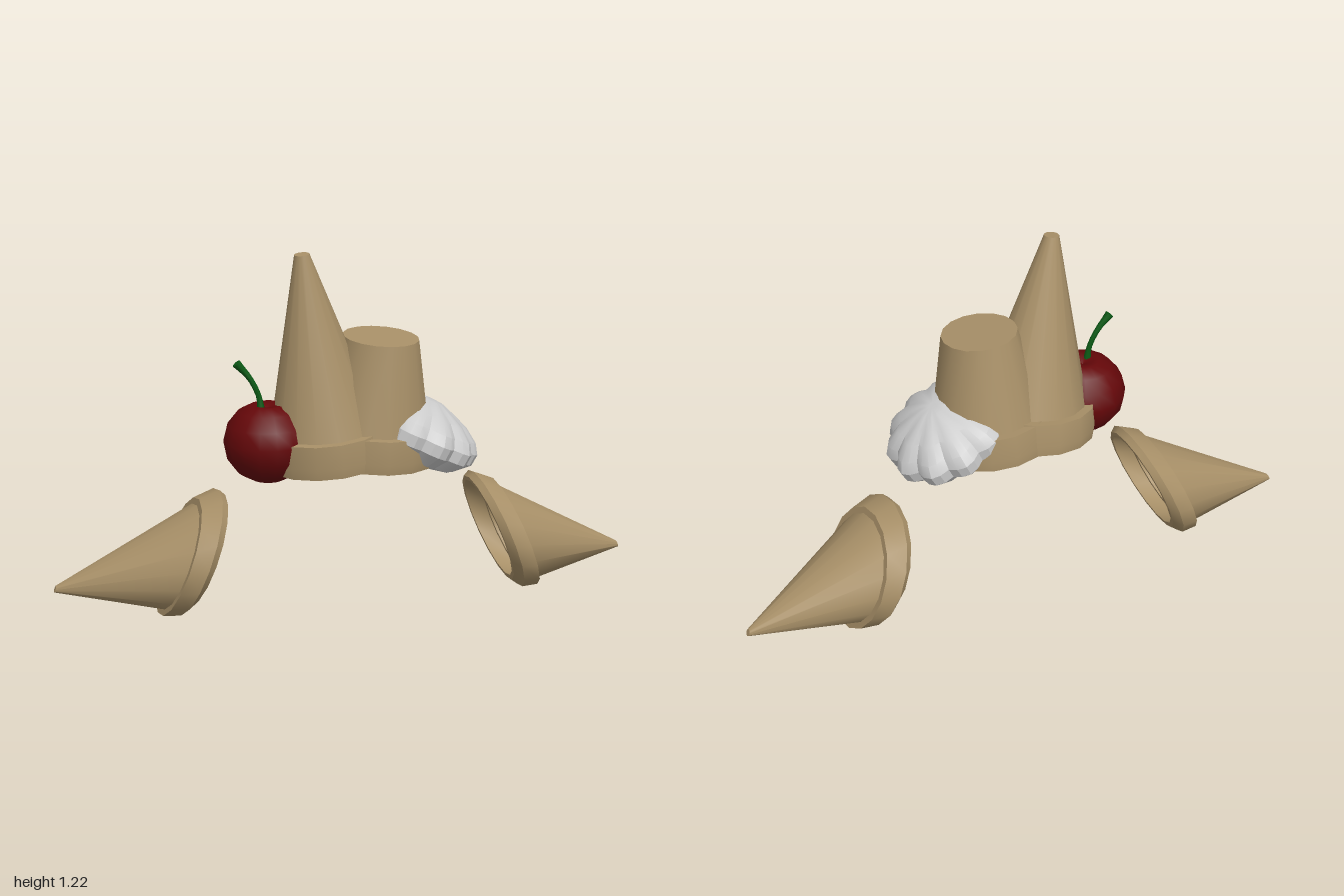
import * as THREE from 'three';
import { toCreasedNormals } from 'three/addons/utils/BufferGeometryUtils.js';

const V = (x, y, z) => new THREE.Vector3(x, y, z);
const mat = (color) => new THREE.MeshStandardMaterial({ color, side: THREE.DoubleSide });

// Skin over circular rings [centre, axis, radius]; a radius of 0 closes the end
function loft(rings, sides, crease = 0.5) {
  const pos = [], idx = [];
  for (const [c, axis, r] of rings) {
    const n = axis.clone().normalize();
    const u = V(0, 0, 1).cross(n).normalize();
    const v = n.clone().cross(u);
    for (let j = 0; j < sides; j++) {
      const a = (j / sides) * Math.PI * 2;
      const p = c.clone().addScaledVector(u, r * Math.cos(a)).addScaledVector(v, r * Math.sin(a));
      pos.push(p.x, p.y, p.z);
    }
  }
  for (let i = 0; i < rings.length - 1; i++) {
    for (let j = 0; j < sides; j++) {
      const k = (j + 1) % sides;
      const a = i * sides + j, b = i * sides + k, c = a + sides, d = b + sides;
      if (rings[i][2] > 0) idx.push(a, b, d);
      if (rings[i + 1][2] > 0) idx.push(a, d, c);
    }
  }
  const g = new THREE.BufferGeometry();
  g.setAttribute('position', new THREE.Float32BufferAttribute(pos, 3));
  g.setIndex(idx);
  return toCreasedNormals(g, crease);
}

// Hollow wafer cone: inner wall, stepped lip, outer rim, outer wall up to a blunt tip.
// All rings share one tilt n, while their centres run open -> base -> tip.
function waferCone(name, { open, base, n, tip, tipRadius, lip, collar }, material) {
  const at = (h) => open.clone().lerp(base, h);
  const innerTip = base.clone().lerp(tip, 0.92);
  const innerRadius = Math.max(tipRadius - 0.012, 0.004);
  const rings = [
    [innerTip, n, 0], [innerTip, n, innerRadius],
    [base, n, 0.155], [at(0.7), n, 0.16], [at(0.7), n, 0.178],
    [open, n, 0.182], [open, n, lip], [at(0.3), n, 0.222],
    [base, n, collar], [base, n, 0.184],
    [tip, n, tipRadius], [tip, n, 0],
  ];
  const mesh = new THREE.Mesh(loft(rings, 16), material);
  mesh.name = name;
  return mesh;
}

// Whipped cream dollop: a lathe with scalloped lobes, pinched at the top
function creamDollop() {
  const profile = [[0, -0.085], [0.11, -0.09], [0.17, -0.075], [0.218, -0.03], [0.222, 0.01],
    [0.2, 0.045], [0.15, 0.08], [0.1, 0.1], [0.05, 0.118], [0.015, 0.122], [0, 0.12]];
  const g = new THREE.LatheGeometry(profile.map(([r, y]) => new THREE.Vector2(r, y)), 44);
  const p = g.attributes.position;
  for (let i = 0; i < p.count; i++) {
    const x = p.getX(i), z = p.getZ(i);
    const lobe = 1 - 0.11 * (1 - Math.abs(Math.sin(Math.atan2(z, x) * 5.5)));
    p.setX(i, x * lobe);
    p.setZ(i, z * lobe);
  }
  g.deleteAttribute('normal');
  g.deleteAttribute('uv');
  const mesh = new THREE.Mesh(toCreasedNormals(g, 0.4), mat(0xcccccc));
  mesh.name = 'creamDollop';
  mesh.rotation.z = -0.437;
  mesh.position.set(0.212, 0.6, 0.04);
  return mesh;
}

// Cherry: round lathe body with a dimple, and a curved stem thicker at both ends
function cherry() {
  const group = new THREE.Group();
  group.name = 'cherry';
  const profile = [[0, -0.125], [0.05, -0.122], [0.1, -0.095], [0.137, -0.045], [0.148, 0.01],
    [0.134, 0.065], [0.098, 0.11], [0.055, 0.132], [0.025, 0.126], [0, 0.112]];
  const body = new THREE.Mesh(
    new THREE.LatheGeometry(profile.map(([r, y]) => new THREE.Vector2(r, y)), 16), mat(0x640709));
  body.name = 'cherryBody';
  body.position.set(-0.297, 0.595, 0.05);
  group.add(body);

  const curve = new THREE.CatmullRomCurve3([
    V(-0.322, 0.69, 0.066), V(-0.328, 0.755, 0.066), V(-0.358, 0.82, 0.064), V(-0.402, 0.872, 0.062)]);
  const radii = [0.017, 0.014, 0.01, 0.009, 0.009, 0.009, 0.01, 0.012, 0.015];
  const rings = radii.map((r, i) => [curve.getPoint(i / 8), curve.getTangent(i / 8), r]);
  rings.unshift([rings[0][0], rings[0][1], 0]);
  rings.push([curve.getPoint(1), curve.getTangent(1), 0]);
  const stem = new THREE.Mesh(loft(rings, 8, 0.9), mat(0x0a5a14));
  stem.name = 'cherryStem';
  group.add(stem);
  return group;
}

export function createModel() {
  const model = new THREE.Group();
  const wafer = mat(0xa89068);

  // Centre pair: a pointed cone and a cut-off cone, leaning apart
  model.add(waferCone('tallCone', {
    open: V(-0.09, 0.53, 0.031), base: V(-0.1, 0.64, 0.039), n: V(-0.1, 1, 0.075),
    tip: V(-0.185, 1.222, 0.075), tipRadius: 0.025, lip: 0.219, collar: 0.212,
  }, wafer));
  model.add(waferCone('shortCone', {
    open: V(0.06, 0.53, 0.031), base: V(0.066, 0.64, 0.039), n: V(0.06, 1, 0.08),
    tip: V(0.085, 0.935, 0.058), tipRadius: 0.127, lip: 0.219, collar: 0.212,
  }, wafer));

  // Outer cones pointing sideways, their openings turned inward and down
  for (const s of [1, -1]) {
    model.add(waferCone(s > 0 ? 'leftCone' : 'rightCone', {
      open: V(s * 0.497, 0.218, -0.036), base: V(s * 0.588, 0.201, -0.038), n: V(s * 0.933, 0.359, 0),
      tip: V(s * 0.997, 0.105, -0.085), tipRadius: 0.012, lip: 0.198, collar: 0.206,
    }, wafer));
  }

  model.add(cherry(), creamDollop());
  return model;
}
